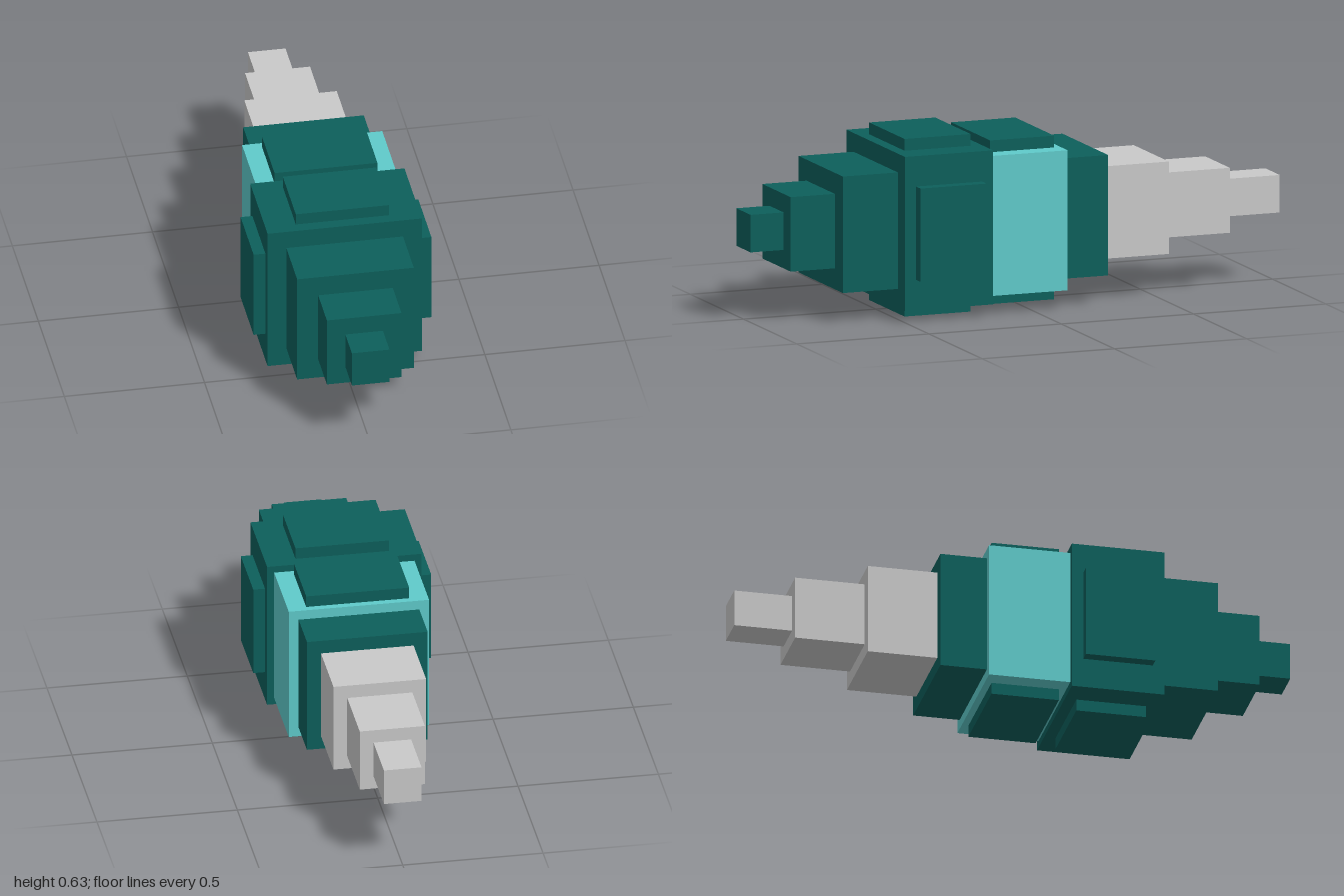
import * as THREE from 'three';

export function createModel() {
  const group = new THREE.Group();
  group.name = 'steppedSpindle';
  const material = (name, color) => {
    const m = new THREE.MeshStandardMaterial({ color });
    m.name = name;
    return m;
  };
  const teal = material('darkTeal', 0x0d5f5b);
  const aqua = material('aqua', 0x5fcaca);
  const grey = material('lightGrey', 0xc9c9c9);
  const axisY = 0.317; // height of the long axis

  const addBox = (name, mat, size, x, y, z) => {
    const mesh = new THREE.Mesh(new THREE.BoxGeometry(...size), mat);
    mesh.name = name;
    mesh.position.set(x, axisY + y, z);
    group.add(mesh);
  };

  // Square body sections from front to back: name, material, half width, front z, back z
  const sections = [
    ['noseTip', teal, 0.067, 1, 0.875],
    ['noseMiddle', teal, 0.133, 0.875, 0.708],
    ['noseBase', teal, 0.208, 0.708, 0.5],
    ['mainBlock', teal, 0.275, 0.5, 0.167],
    ['aquaBand', aqua, 0.25, 0.167, -0.125],
    ['rearBlock', teal, 0.215, -0.125, -0.292],
    ['tailBase', grey, 0.165, -0.292, -0.542],
    ['tailMiddle', grey, 0.116, -0.542, -0.792],
    ['tailTip', grey, 0.067, -0.792, -1],
  ];
  for (const [name, mat, half, front, back] of sections) {
    addBox(name, mat, [half * 2, half * 2, front - back], 0, 0, (front + back) / 2);
  }

  // Raised pads: four around the main block, two on the aqua band
  for (const s of [1, -1]) {
    const end = s > 0 ? 'top' : 'bottom';
    const side = s > 0 ? 'left' : 'right';
    addBox(`${end}MainPad`, teal, [0.333, 0.042, 0.25], 0, s * 0.296, 0.333);
    addBox(`${side}MainPad`, teal, [0.042, 0.333, 0.25], s * 0.296, 0, 0.333);
    addBox(`${end}BandPad`, teal, [0.367, 0.042, 0.242], 0, s * 0.271, 0.02);
  }
  return group;
}
